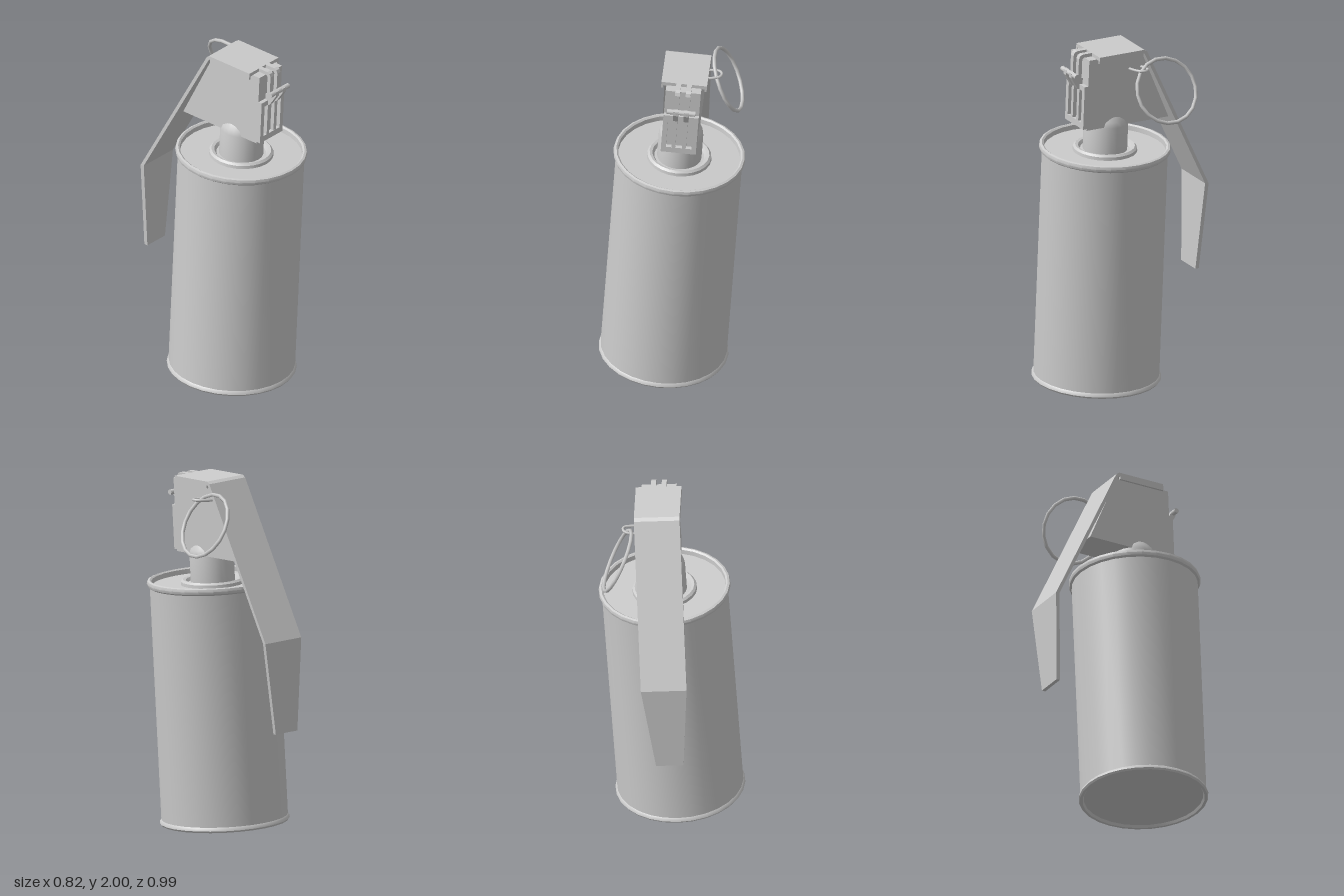
import * as THREE from 'three';
import { toCreasedNormals } from 'three/addons/utils/BufferGeometryUtils.js';

const material = new THREE.MeshStandardMaterial({ color: 0xcccccc });

function part(name, geometry, parent, x = 0, y = 0, z = 0) {
  const mesh = new THREE.Mesh(geometry, material);
  mesh.name = name;
  mesh.position.set(x, y, z);
  parent.add(mesh);
  return mesh;
}

const vectors = (points) => points.map(([a, b]) => new THREE.Vector2(a, b));

function turned(points, sides) {
  return toCreasedNormals(new THREE.LatheGeometry(vectors(points), sides), 0.6);
}

// Side outline given as (z, y), extruded across x and centred
function sideExtrude(points, width) {
  const geometry = new THREE.ExtrudeGeometry(new THREE.Shape(vectors(points)), { depth: width, bevelEnabled: false });
  return geometry.translate(0, 0, -width / 2).rotateY(-Math.PI / 2);
}

export function createModel() {
  const model = new THREE.Group();
  model.name = 'canister';

  // Everything but the pull ring leans slightly
  const body = new THREE.Group();
  body.name = 'leaningBody';
  body.position.set(-0.05, 0.026, 0.13);
  body.rotation.set(-0.008, 0.08, -0.065, 'ZYX');
  model.add(body);

  // Can with rolled rims and recessed ends
  part('can', turned([
    [0, 0.014], [0.335, 0.014], [0.343, 0], [0.358, 0], [0.365, 0.01], [0.362, 0.022], [0.355, 0.03],
    [0.355, 1.352], [0.366, 1.36], [0.371, 1.375], [0.367, 1.39], [0.355, 1.394],
    [0.345, 1.387], [0.343, 1.36], [0, 1.36],
  ], 28), body);

  // Collar and neck, with a conical shoulder showing beside the head
  part('neck', turned([
    [0.182, 1.36], [0.18, 1.378], [0.168, 1.389], [0.152, 1.385], [0.14, 1.368], [0.125, 1.368],
    [0.125, 1.53], [0.118, 1.56], [0.098, 1.59], [0, 1.59],
  ], 24), body);

  // Head block with sloping back
  part('head', sideExtrude([
    [0.185, 1.535], [0.185, 1.955], [-0.155, 1.955], [-0.348, 1.535],
  ], 0.198), body);

  // Front frame with a window
  const frame = new THREE.Shape(vectors([[-0.099, 1.545], [0.099, 1.545], [0.099, 1.8], [-0.099, 1.8]]));
  frame.holes.push(new THREE.Path(vectors([[-0.072, 1.58], [-0.072, 1.77], [0.072, 1.77], [0.072, 1.58]])));
  part('frontFrame', new THREE.ExtrudeGeometry(frame, { depth: 0.025, bevelEnabled: false }), body, 0, 0, 0.184);

  // Lever: flat top, slope, and a tapering tail
  const lever = sideExtrude([
    [0.135, 1.975], [-0.155, 1.975], [-0.175, 1.962], [-0.612, 1.1], [-0.6, 0.575],
    [-0.578, 0.575], [-0.589, 1.103], [-0.158, 1.953], [0.135, 1.953],
  ].reverse(), 0.257);
  const corner = lever.attributes.position;
  for (let i = 0; i < corner.count; i++) {
    const drop = Math.max(0, 1.1 - corner.getY(i));
    corner.setX(i, corner.getX(i) * (1 - 0.76 * drop));
  }
  lever.computeVertexNormals();
  part('lever', lever, body);

  for (const side of [-1, 1]) {
    // Turned-down edges of the lever top
    part('leverLip', new THREE.BoxGeometry(0.012, 0.035, 0.285), body, side * 0.1225, 1.953, -0.0075);

    // Hinge arm over the front edge, its hook and the rib below
    part('hingeArm', sideExtrude([
      [0.13, 1.955], [0.19, 1.955], [0.198, 1.945], [0.198, 1.8], [0.22, 1.8],
      [0.22, 1.95], [0.212, 1.968], [0.195, 1.975], [0.13, 1.975],
    ], 0.028), body, side * 0.03);
    part('hingeHook', sideExtrude([
      [0.19, 1.765], [0.222, 1.775], [0.264, 1.843], [0.264, 1.87], [0.246, 1.876], [0.222, 1.835], [0.19, 1.835],
    ], 0.028), body, side * 0.03);
    part('frontRib', new THREE.BoxGeometry(0.022, 0.22, 0.024), body, side * 0.03, 1.68, 0.196);
  }

  // Hinge pin
  part('hingePin', new THREE.CylinderGeometry(0.015, 0.015, 0.16, 10).rotateZ(Math.PI / 2), body, 0, 1.86, 0.25);

  // Safety pin eye on the side of the head
  const eye = new THREE.CatmullRomCurve3([
    [0.14, 1.88, 0.03], [0.2, 1.882, 0.02], [0.25, 1.885, 0], [0.257, 1.885, -0.025],
    [0.24, 1.885, -0.05], [0.19, 1.882, -0.055], [0.14, 1.88, -0.045],
  ].map((p) => new THREE.Vector3(...p)));
  part('safetyPin', new THREE.TubeGeometry(eye, 20, 0.008, 6), model);

  // Pull ring hanging at an angle
  const ring = part('pullRing', new THREE.TorusGeometry(0.185, 0.011, 6, 18), model, 0.272, 1.757, -0.15);
  ring.rotation.set(0, Math.PI / 2 + 0.05, 0.43, 'ZYX');

  return model;
}
